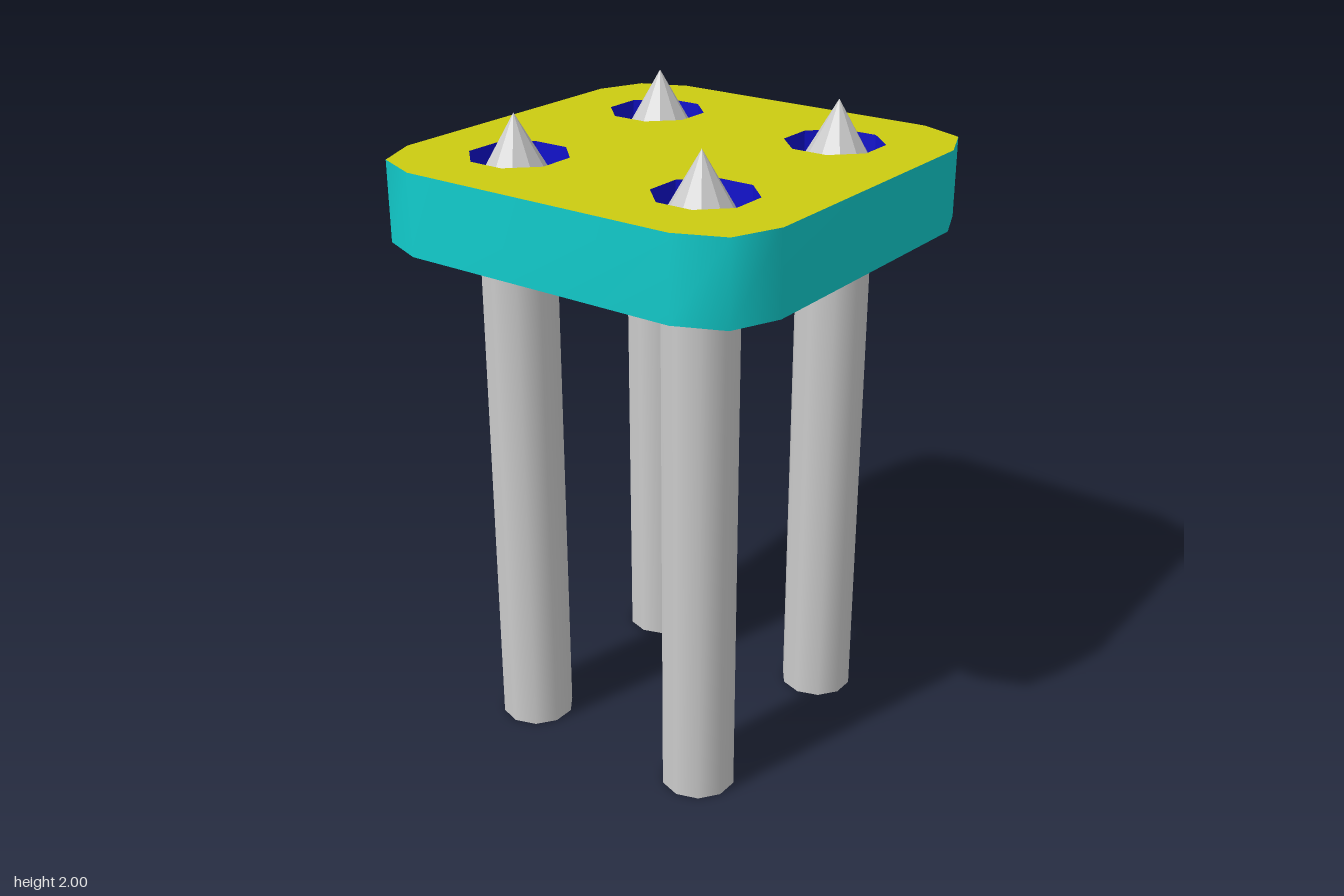
import * as THREE from 'three';
import { toCreasedNormals } from 'three/addons/utils/BufferGeometryUtils.js';

const material = (color, flatShading = false) =>
  new THREE.MeshStandardMaterial({ color, flatShading, side: THREE.DoubleSide });

// Regular polygon as a list of 2D points
function polygon(x, y, radius, sides, start) {
  return Array.from({ length: sides }, (_, i) => {
    const a = start + (i / sides) * Math.PI * 2;
    return new THREE.Vector2(x + radius * Math.cos(a), y + radius * Math.sin(a));
  });
}

// Flat horizontal sheet with holes, facing up
function sheet(outline, holes, y) {
  const shape = new THREE.Shape(outline);
  for (const hole of holes) shape.holes.push(new THREE.Path(hole));
  return new THREE.ShapeGeometry(shape).rotateX(-Math.PI / 2).translate(0, y, 0);
}

// Vertical band that follows an outline
function band(outline, bottom, top) {
  const positions = [], index = [], n = outline.length;
  outline.forEach((p, i) => {
    positions.push(p.x, bottom, -p.y, p.x, top, -p.y);
    const a = 2 * i, b = 2 * ((i + 1) % n);
    index.push(a, b, b + 1, a, b + 1, a + 1);
  });
  const geometry = new THREE.BufferGeometry();
  geometry.setAttribute('position', new THREE.Float32BufferAttribute(positions, 3));
  geometry.setIndex(index);
  geometry.computeVertexNormals();
  return geometry;
}

export function createModel() {
  const group = new THREE.Group();
  const add = (name, geometry, mat) => {
    const mesh = new THREE.Mesh(geometry, mat);
    mesh.name = name;
    group.add(mesh);
  };
  const yellow = material(0xcccc11);
  const teal = material(0x11cccc);
  const blue = material(0x1111cc, true);
  const grey = material(0xcccccc);
  const greyFlat = material(0xcccccc, true);

  const TOP = 1.875, SKIRT_BOTTOM = 1.63, CUP_BOTTOM = 1.66;
  const SHOULDER = 1.803, LEG_RADIUS = 0.115;

  // Rounded-square outline: three points for each corner, turned four times
  const outline = [];
  for (let k = 0; k < 4; k++) {
    for (const [x, y] of [[0.655, 0.45], [0.595, 0.595], [0.45, 0.655]]) {
      outline.push(new THREE.Vector2(x, y).rotateAround(new THREE.Vector2(), k * Math.PI / 2));
    }
  }

  // Top plate with four octagonal holes, and the skirt around it
  const corners = [[1, 1], [1, -1], [-1, 1], [-1, -1]];
  const octagon = (sx, sz) => polygon(sx * 0.328, -sz * 0.328, 0.152, 8, Math.PI / 8);
  add('topPlate', sheet(outline, corners.map(([sx, sz]) => octagon(sx, sz)), TOP), yellow);
  add('skirt', toCreasedNormals(band(outline, SKIRT_BOTTOM, TOP), 0.9), teal);

  for (const [sx, sz] of corners) {
    const x = sx * 0.345, z = sz * 0.328;

    // Sunken octagonal cup that the leg passes through
    add('cupWall', band(octagon(sx, sz), CUP_BOTTOM, TOP), blue);
    add('cupFloor', sheet(octagon(sx, sz), [polygon(x, -z, LEG_RADIUS, 10, 0)], CUP_BOTTOM), blue);

    // Hollow leg with a pointed tip
    const leg = new THREE.CylinderGeometry(LEG_RADIUS, LEG_RADIUS, SHOULDER, 10, 1, true, Math.PI / 2);
    add('leg', leg.translate(x, SHOULDER / 2, z), grey);
    const tipHeight = 2 - SHOULDER;
    const tip = new THREE.ConeGeometry(LEG_RADIUS, tipHeight, 10, 1, true, Math.PI / 2);
    add('legTip', tip.translate(x, SHOULDER + tipHeight / 2, z), greyFlat);
  }

  group.position.z = -0.003;
  return group;
}
